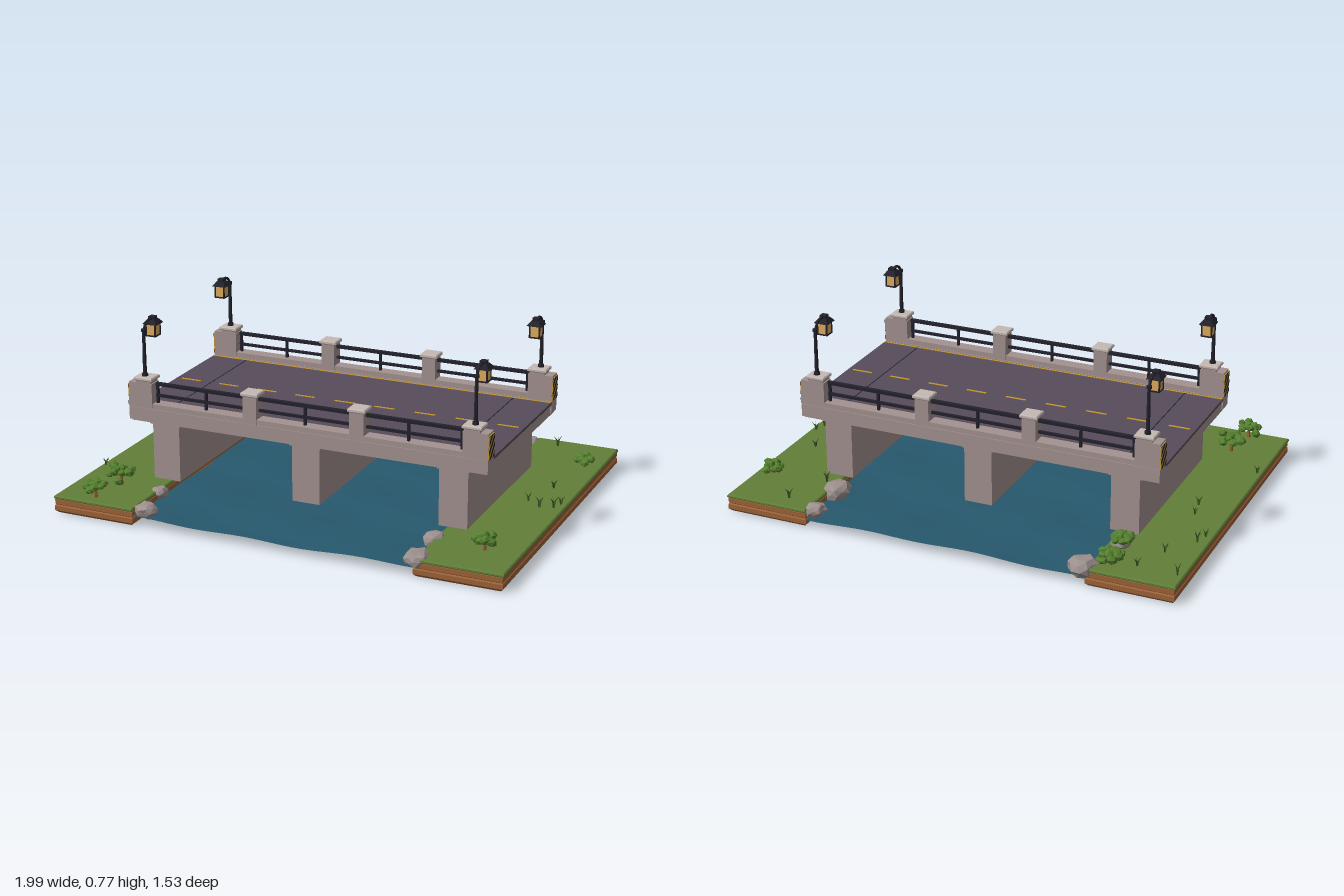
import * as THREE from 'three';

const mat = (color, extra = {}) => new THREE.MeshStandardMaterial({ color, flatShading: true, ...extra });
const M = {
  concrete: mat(0xa39290), cap: mat(0xc4b8b2), road: mat(0x574c5a), yellow: mat(0xc8962e),
  dark: mat(0x23222b), glow: mat(0xe0ac5c), dirt: mat(0x9c6238), grass: mat(0x627f38),
  water: mat(0x27586d, { side: THREE.DoubleSide }), rock: mat(0x9c908e), leaf: mat(0x55802f),
  blade: mat(0x3c5c22, { side: THREE.DoubleSide }),
};

let seed = 7;
const rand = () => (seed = (seed * 16807) % 2147483647) / 2147483647;

function add(parent, name, geo, material, x = 0, y = 0, z = 0) {
  const mesh = new THREE.Mesh(geo, material);
  mesh.name = name;
  mesh.position.set(x, y, z);
  parent.add(mesh);
  return mesh;
}

// Box given by its minimum and maximum along each axis
function box(parent, name, material, x0, x1, y0, y1, z0, z1) {
  return add(parent, name, new THREE.BoxGeometry(x1 - x0, y1 - y0, z1 - z0), material,
    (x0 + x1) / 2, (y0 + y1) / 2, (z0 + z1) / 2);
}

// Slab with chamfered top and bottom edges
function slab(parent, name, material, w, d, y0, y1, x, z, b) {
  const s = new THREE.Shape([[-1, -1], [1, -1], [1, 1], [-1, 1]].map(
    ([i, j]) => new THREE.Vector2(i * (w / 2 - b), j * (d / 2 - b))));
  const geo = new THREE.ExtrudeGeometry(s, { depth: y1 - y0 - 2 * b, bevelSize: b, bevelThickness: b, bevelSegments: 1 });
  geo.rotateX(-Math.PI / 2);
  return add(parent, name, geo, material, x, y0 + b, z);
}

// Lantern on a curved arm; the arm reaches towards the road
function lamp(x, side) {
  const g = new THREE.Group();
  g.name = 'streetLamp';
  add(g, 'lampPost', new THREE.CylinderGeometry(0.007, 0.009, 0.21, 8), M.dark, 0, 0.63, 0);
  add(g, 'lampFoot', new THREE.CylinderGeometry(0.013, 0.015, 0.014, 8), M.dark, 0, 0.54, 0);
  add(g, 'lampCollar', new THREE.CylinderGeometry(0.011, 0.011, 0.012, 8), M.dark, 0, 0.735, 0);
  const arm = new THREE.CatmullRomCurve3([[0.73, 0], [0.752, -0.012], [0.768, -0.04], [0.768, -0.08]]
    .map(([y, z]) => new THREE.Vector3(0, y, z)));
  add(g, 'lampArm', new THREE.TubeGeometry(arm, 10, 0.006, 6), M.dark);
  const z = -0.08;
  box(g, 'lampGlass', M.glow, -0.021, 0.021, 0.695, 0.745, z - 0.021, z + 0.021);
  box(g, 'lampBase', M.dark, -0.024, 0.024, 0.69, 0.696, z - 0.024, z + 0.024);
  for (const i of [-1, 1]) for (const j of [-1, 1])
    box(g, 'lampFrame', M.dark, i * 0.021 - 0.003, i * 0.021 + 0.003, 0.692, 0.747, z + j * 0.021 - 0.003, z + j * 0.021 + 0.003);
  const roof = new THREE.CylinderGeometry(0.024, 0.046, 0.02, 4).rotateY(Math.PI / 4);
  add(g, 'lampRoof', roof, M.dark, 0, 0.754, z);
  box(g, 'lampRoofTop', M.dark, -0.014, 0.014, 0.76, 0.776, z - 0.014, z + 0.014);
  g.position.set(x, 0, side * 0.395);
  g.rotation.y = side > 0 ? 0 : Math.PI;
  return g;
}

// Yellow plate with black diagonal stripes, facing outwards along x
function hazardSign(x, z) {
  const g = new THREE.Group();
  g.name = 'hazardSign';
  add(g, 'signPlate', new THREE.BoxGeometry(0.06, 0.1, 0.006), M.yellow);
  const stripes = [
    [[-30, -30], [30, 30], [30, 48], [-30, -12]],
    [[-30, 7], [13, 50], [-5, 50], [-30, 25]],
    [[-13, -50], [30, -7], [30, 11], [-29, -50]],
    [[6, -50], [24, -50], [30, -44], [30, -26]],
    [[-30, 44], [-24, 50], [-30, 50]],
  ];
  for (const p of stripes) {
    const s = new THREE.Shape(p.map(([a, b]) => new THREE.Vector2(a / 1000, b / 1000)));
    add(g, 'signStripe', new THREE.ExtrudeGeometry(s, { depth: 0.002, bevelEnabled: false }), M.dark, 0, 0, 0.0025);
  }
  g.position.set(x, 0.452, z);
  g.rotation.y = Math.sign(x) * Math.PI / 2;
  return g;
}

// Irregular faceted boulder, displaced consistently per corner
function rock(parent, x, z, r, y = 0.06) {
  const geo = new THREE.IcosahedronGeometry(r, 1), p = geo.attributes.position, v = new THREE.Vector3();
  for (let i = 0; i < p.count; i++) {
    v.fromBufferAttribute(p, i);
    const k = 1 + 0.13 * Math.sin(Math.round(v.x / r * 50) * 0.13 + Math.round(v.y / r * 50) * 0.21 + Math.round(v.z / r * 50) * 0.17 + x * 9);
    p.setXYZ(i, v.x * k * 1.08, v.y * k * 0.72, v.z * k);
  }
  geo.computeVertexNormals();
  add(parent, 'rock', geo, M.rock, x, y, z).rotation.y = x * 5 + z * 3;
}

// Bush made of small faceted leaf clumps
function bush(parent, x, z, r, h) {
  const g = new THREE.Group();
  g.name = 'bush';
  add(g, 'bushStem', new THREE.CylinderGeometry(0.006, 0.009, h * 0.5, 5), M.dirt, 0, h * 0.25, 0);
  for (let i = 0; i < 13; i++) {
    const a = i * 2.4, d = r * 0.8 * Math.sqrt(i / 13);
    const s = 0.016 + rand() * 0.008;
    const clump = add(g, 'leafClump', new THREE.IcosahedronGeometry(s, 0), M.leaf,
      Math.cos(a) * d, h * (0.84 - 0.5 * (i / 13) * rand()) - 0.006, Math.sin(a) * d);
    clump.scale.y = 0.75;
    clump.rotation.set(rand() * 3, rand() * 3, 0);
  }
  g.position.set(x, 0.08, z);
  parent.add(g);
}

// Tuft of bent, tapering blades
function tuft(parent, x, z, h) {
  const g = new THREE.Group();
  g.name = 'grassTuft';
  for (let i = 0; i < 4; i++) {
    const s = new THREE.Shape([[-0.004, 0], [0.004, 0], [0.008, h * 0.6], [0.018, h], [0.001, h * 0.6]]
      .map(([a, b]) => new THREE.Vector2(a, b)));
    add(g, 'grassBlade', new THREE.ShapeGeometry(s), M.blade).rotation.y = i * 1.7 + x * 7 + z * 5;
  }
  g.position.set(x, 0.08, z);
  parent.add(g);
}

export function createModel() {
  const root = new THREE.Group();
  root.name = 'roadBridge';

  // River: gently rippled sheet
  const water = new THREE.PlaneGeometry(1.25, 1.49, 24, 28).rotateX(-Math.PI / 2);
  const wp = water.attributes.position;
  for (let i = 0; i < wp.count; i++)
    wp.setY(i, 0.004 * Math.sin(wp.getX(i) * 13 + wp.getZ(i) * 4) + 0.003 * Math.sin(wp.getZ(i) * 15 - wp.getX(i) * 5));
  add(root, 'water', water, M.water, 0, 0.044, 0);

  for (const s of [-1, 1]) {
    // River banks
    slab(root, 'bankSoil', M.dirt, 0.372, 1.49, 0.004, 0.048, s * 0.807, 0, 0.012);
    slab(root, 'bankUpperSoil', M.dirt, 0.368, 1.486, 0.04, 0.068, s * 0.807, 0, 0.004);
    slab(root, 'bankGrass', M.grass, 0.372, 1.49, 0.064, 0.081, s * 0.81, 0, 0.005);

    // Kerb beams along both sides of the deck
    const z = s * 0.39;
    box(root, 'edgeBeam', M.concrete, -0.805, 0.805, 0.345, 0.4, z - 0.033, z + 0.033);
    box(root, 'kerb', M.concrete, -0.8, 0.8, 0.4, 0.422, z - 0.029, z + 0.029);
    box(root, 'edgeLine', M.yellow, -0.805, 0.805, 0.396, 0.399, s * 0.347 - 0.004, s * 0.347 + 0.004);

    // Railing
    box(root, 'topRail', M.dark, -0.69, 0.69, 0.499, 0.512, z - 0.009, z + 0.009);
    box(root, 'middleRail', M.dark, -0.69, 0.69, 0.45, 0.461, z - 0.006, z + 0.006);
    for (const x of [-0.683, -0.455, 0, 0.455, 0.683])
      box(root, 'railPost', M.dark, x - 0.005, x + 0.005, 0.42, 0.505, z - 0.006, z + 0.006);
    for (const x of [-0.24, 0.24]) {
      box(root, 'middlePillar', M.concrete, x - 0.031, x + 0.031, 0.4, 0.522, z - 0.031, z + 0.031);
      slab(root, 'pillarCap', M.cap, 0.078, 0.074, 0.518, 0.535, x, z, 0.004);
    }

    // End pillars with signs and lamps
    for (const e of [-1, 1]) {
      const x = e * 0.75;
      box(root, 'endPillar', M.concrete, x - 0.054, x + 0.054, 0.345, 0.51, z - 0.031, z + 0.031);
      box(root, 'pillarNeck', M.concrete, e * 0.735 - 0.034, e * 0.735 + 0.034, 0.505, 0.525, z - 0.031, z + 0.031);
      slab(root, 'pillarCap', M.cap, 0.084, 0.074, 0.52, 0.536, e * 0.735, z, 0.004);
      root.add(hazardSign(e * 0.805, z), lamp(e * 0.74, s));
    }
    box(root, 'expansionJoint', M.dark, s * 0.638 - 0.002, s * 0.638 + 0.002, 0.396, 0.398, -0.355, 0.355);
  }

  // Deck and road
  box(root, 'deckSlab', M.concrete, -0.8, 0.8, 0.336, 0.392, -0.41, 0.41);
  box(root, 'roadSurface', M.road, -0.806, 0.806, 0.385, 0.397, -0.357, 0.357);
  for (let i = 0; i < 9; i++) {
    const x = -0.735 + i * 0.184;
    box(root, 'centreDash', M.yellow, x - 0.046, x + 0.046, 0.396, 0.399, -0.005, 0.005);
  }

  // Piers
  for (const x of [-0.65, 0, 0.65]) {
    box(root, 'pier', M.concrete, x - 0.062, x + 0.062, 0.08, 0.33, -0.39, 0.39);
    box(root, 'pierCap', M.concrete, x - 0.07, x + 0.07, 0.327, 0.338, -0.4, 0.4);
  }

  // Rocks, bushes and grass
  for (const [x, z, r] of [[-0.6, -0.7, 0.06], [0.6, -0.7, 0.043], [0.605, -0.5, 0.06], [-0.625, 0.5, 0.036],
    [-0.58, 0.7, 0.047], [0.615, 0.5, 0.046], [0.625, 0.7, 0.053]]) rock(root, x, z, r, 0.068);
  rock(root, -0.68, -0.5, 0.04, 0.09);
  for (const [x, z, r, h] of [[-0.7, -0.67, 0.06, 0.075], [-0.68, -0.5, 0.05, 0.06], [0.925, -0.48, 0.05, 0.06],
    [-0.8, 0.52, 0.075, 0.092], [-0.825, 0.69, 0.06, 0.08], [0.845, 0.55, 0.055, 0.08]]) bush(root, x, z, r, h);
  for (const [x, z] of [[-0.97, -0.65], [-0.8, -0.64], [-0.86, -0.49], [-0.95, -0.36], [-0.965, -0.3], [-0.86, -0.13],
    [-0.845, -0.04], [-0.975, 0.35], [0.74, -0.67], [0.67, -0.47], [0.885, -0.18], [0.835, 0], [0.9, 0.05], [0.955, 0.03],
    [0.97, -0.02]]) tuft(root, x, z, 0.035 + rand() * 0.02);

  return root;
}
